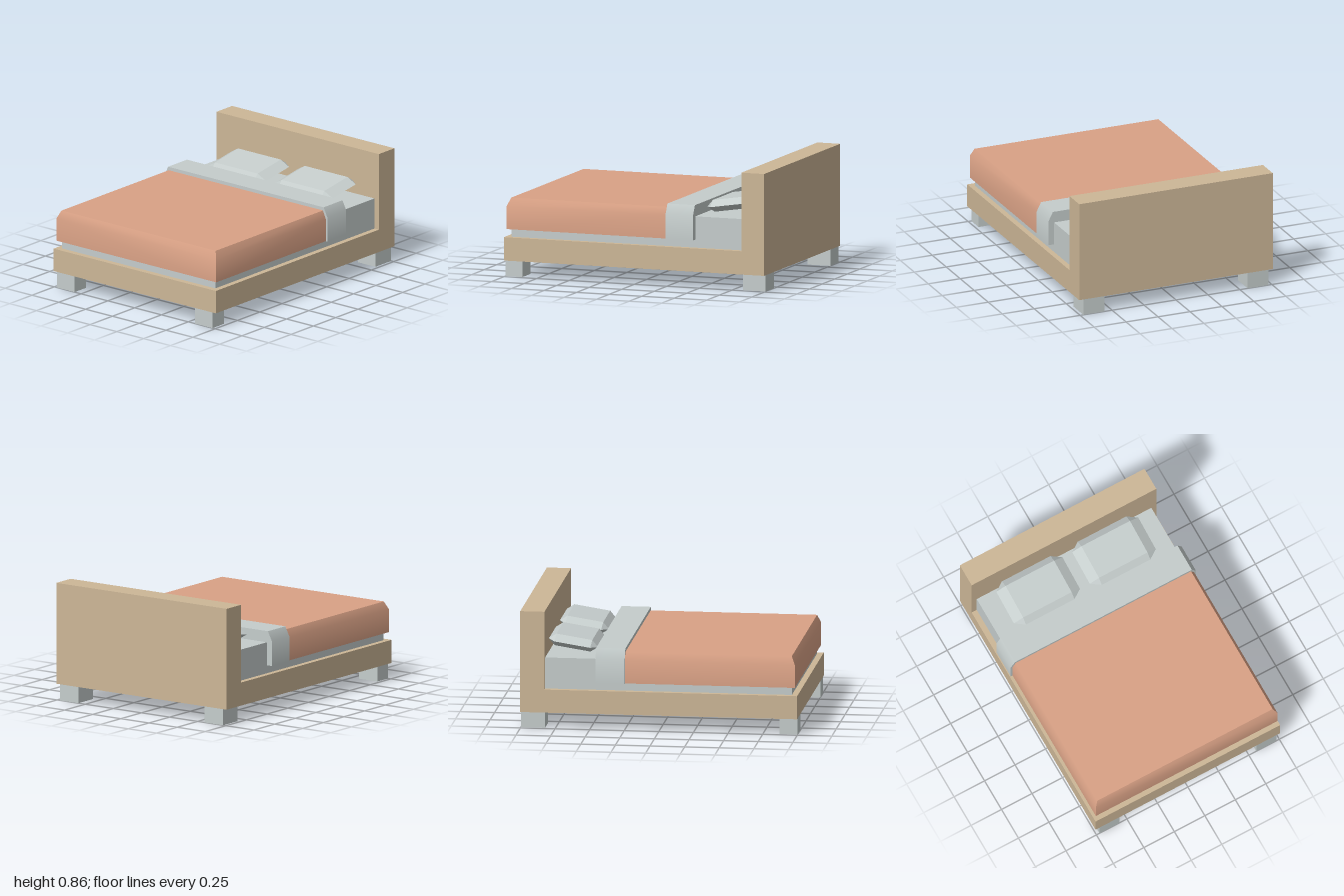
import * as THREE from 'three';
import { toCreasedNormals } from 'three/addons/utils/BufferGeometryUtils.js';
import { ConvexGeometry } from 'three/addons/geometries/ConvexGeometry.js';

const material = (name, color) => {
  const m = new THREE.MeshStandardMaterial({ color });
  m.name = name;
  return m;
};

export function createModel() {
  const wood = material('wood', 0xcdb797);
  const linen = material('linen', 0xc5cdcc);
  const terracotta = material('terracotta', 0xdaa286);
  const bed = new THREE.Group();
  bed.name = 'bed';

  const add = (name, geometry, mat) => {
    const mesh = new THREE.Mesh(geometry, mat);
    mesh.name = name;
    bed.add(mesh);
    return mesh;
  };

  // Box given by its extents
  const box = (name, mat, x0, x1, y0, y1, z0, z1) => {
    const g = new THREE.BoxGeometry(x1 - x0, y1 - y0, z1 - z0);
    g.translate((x0 + x1) / 2, (y0 + y1) / 2, (z0 + z1) / 2);
    return add(name, g, mat);
  };

  // Cover with sloping upper edges: levels are [y, halfWidth, backZ, frontZ]
  const cover = (name, mat, levels) => {
    const points = [];
    for (const [y, w, back, front] of levels)
      for (const x of [-w, w])
        for (const z of [back, front]) points.push(new THREE.Vector3(x, y, z));
    return add(name, toCreasedNormals(new ConvexGeometry(points), 0.6), mat);
  };

  // Frame
  box('base', wood, -0.757, 0.757, 0.118, 0.287, -0.825, 1);
  box('headboard', wood, -0.757, 0.757, 0.118, 0.857, -1, -0.825);

  // Legs
  for (const s of [-1, 1]) {
    const side = s > 0 ? 'Left' : 'Right';
    const x = s * 0.643;
    box('front' + side + 'Leg', linen, x - 0.082, x + 0.082, 0, 0.118, 0.87, 1);
    box('back' + side + 'Leg', linen, x - 0.082, x + 0.082, 0, 0.118, -1, -0.825);
  }

  // Bedding
  box('mattress', linen, -0.716, 0.716, 0.287, 0.514, -0.825, 0.957);
  cover('blanket', terracotta, [
    [0.345, 0.745, -0.245, 0.982],
    [0.513, 0.745, -0.245, 0.982],
    [0.571, 0.719, -0.245, 0.957],
  ]);
  cover('foldedSheet', linen, [
    [0.345, 0.76, -0.456, -0.245],
    [0.527, 0.76, -0.456, -0.245],
    [0.596, 0.725, -0.456, -0.245],
  ]);

  // Pillows: eight-sided seam between two smaller flat faces
  const points = [];
  for (const x of [-1, 1])
    for (const z of [-1, 1]) {
      points.push(new THREE.Vector3(x * 0.271, 0, z * 0.131));
      points.push(new THREE.Vector3(x * 0.199, 0, z * 0.179));
      for (const y of [-0.043, 0.043]) points.push(new THREE.Vector3(x * 0.199, y, z * 0.131));
    }
  const pillowShape = new ConvexGeometry(points);
  for (const s of [-1, 1]) {
    const pillow = add(s > 0 ? 'leftPillow' : 'rightPillow', pillowShape, linen);
    pillow.position.set(s * 0.311, 0.584, -0.647);
    pillow.rotation.x = 0.155;
  }

  return bed;
}
